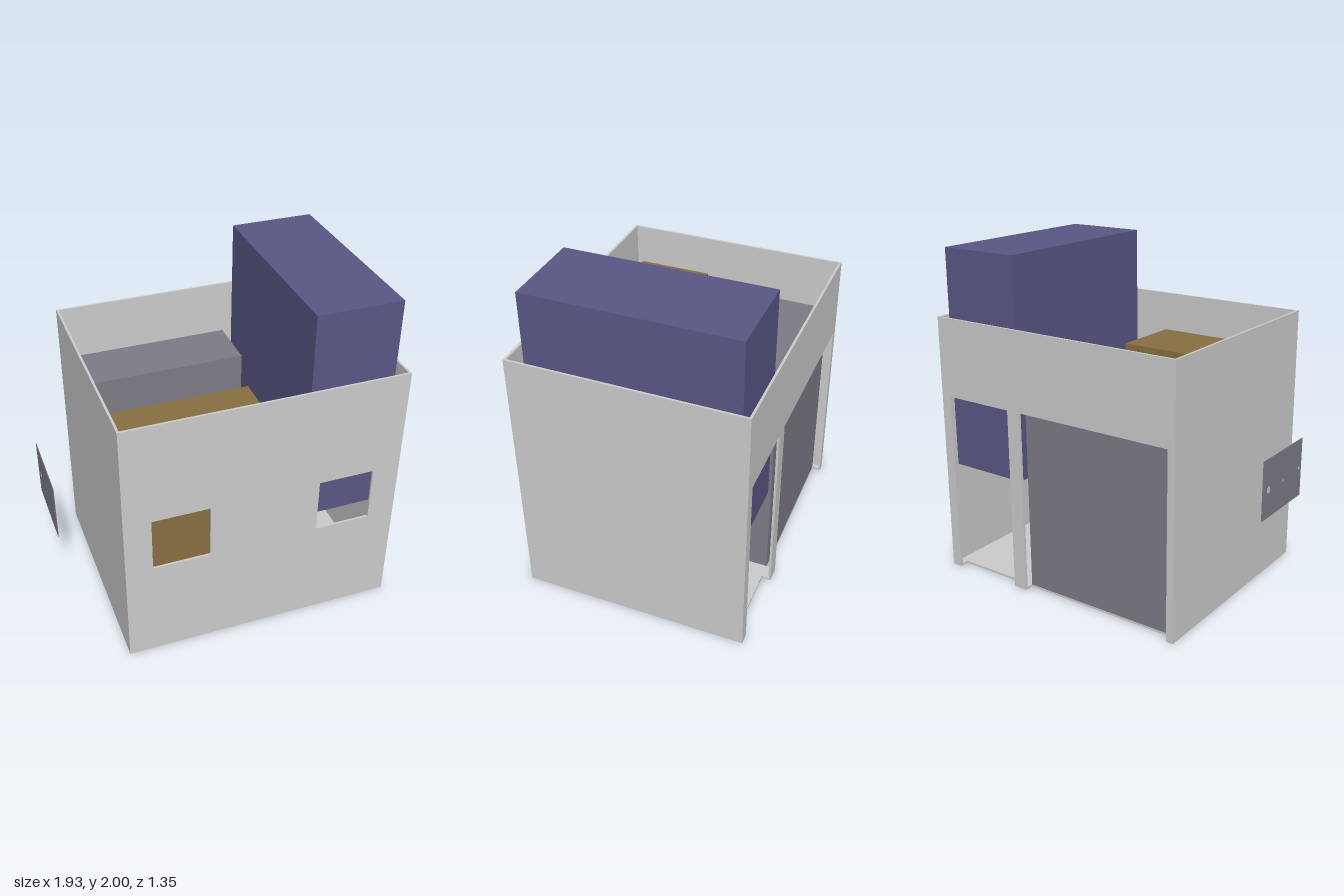
import * as THREE from 'three';

const X0 = -0.69, X1 = 0.965, Z0 = -0.675, Z1 = 0.675, H = 1.6, T = 0.014;
const DOORS = [[-0.645, 0.36], [0.45, 0.9]];

const material = (color) => new THREE.MeshStandardMaterial({ color });
const grey = material(0xcccccc);
const slate = material(0x7d7c87);
const blue = material(0x595785);
const brown = material(0x886f40);

// Box given by its limits on each axis
function block(name, mat, [x0, x1], [y0, y1], [z0, z1]) {
  const mesh = new THREE.Mesh(new THREE.BoxGeometry(x1 - x0, y1 - y0, z1 - z0), mat);
  mesh.position.set((x0 + x1) / 2, (y0 + y1) / 2, (z0 + z1) / 2);
  mesh.name = name;
  return mesh;
}

function polygon(points) {
  return new THREE.Shape(points.map(([x, y]) => new THREE.Vector2(x, y)));
}

function rectangle(x0, x1, y0, y1) {
  return polygon([[x0, y0], [x1, y0], [x1, y1], [x0, y1]]);
}

function plate(name, mat, shape, depth) {
  const geometry = new THREE.ExtrudeGeometry(shape, { depth, bevelEnabled: false, curveSegments: 10 });
  const mesh = new THREE.Mesh(geometry, mat);
  mesh.name = name;
  return mesh;
}

// Outline whose lower edge is cut by the two doorways up to the given height
function notched(x0, x1, low, cut, high) {
  const points = [[x0, low]];
  for (const [a, b] of DOORS) points.push([a, low], [a, cut], [b, cut], [b, low]);
  points.push([x1, low], [x1, high], [x0, high]);
  return polygon(points);
}

function createShell() {
  const shell = new THREE.Group();
  shell.name = 'room';

  // Front wall with two square windows
  const frontShape = rectangle(X0, X1, 0, H);
  for (const [a, b] of [[-0.53, -0.19], [0.465, 0.8]]) frontShape.holes.push(rectangle(a, b, 0.635, 0.975));
  const front = plate('frontWall', grey, frontShape, T);
  front.position.z = Z1 - T;

  // Back wall with two doorways
  const back = plate('backWall', grey, notched(X0, X1, 0, 1.12, H), T);
  back.position.z = Z0;

  // Floor, cut back at the doorways
  const floor = plate('floor', grey, notched(X0 + T, X1 - T, Z0 + T, -0.62, Z1 - T), T);
  floor.rotation.x = Math.PI / 2;
  floor.position.y = T;

  shell.add(front, back, floor,
    block('rightWall', grey, [X0, X0 + T], [0, H], [Z0 + T, Z1 - T]),
    block('leftWall', grey, [X1 - T, X1], [0, H], [Z0 + T, Z1 - T]));
  return shell;
}

// Thin upright panel beside the room, pierced by small round holes
function createPanel() {
  const shape = rectangle(-0.23, 0.23, 0.63, 0.98);
  for (const [z, y, r] of [[-0.16, 0.795, 0.022], [0.01, 0.795, 0.01], [0.205, 0.805, 0.01]]) {
    const hole = new THREE.Path();
    hole.absarc(-z, y, r, 0, Math.PI * 2, true);
    shape.holes.push(hole);
  }
  const panel = plate('sidePanel', slate, shape, 0.004);
  panel.rotation.y = Math.PI / 2;
  panel.position.x = -0.967;
  return panel;
}

export function createModel() {
  const model = new THREE.Group();
  model.name = 'furnishedRoom';
  model.add(
    createShell(),
    // Blocks standing in the room, and the tall one raised above the floor
    block('backCabinet', slate, [-0.65, 0.36], [T, 1.29], [-0.62, -0.28]),
    block('frontCabinet', brown, [-0.65, 0.22], [T, 1.37], [0.165, 0.615]),
    block('smallCabinet', slate, [0.235, 0.405], [T, 0.45], [0.505, 0.615]),
    block('raisedBlock', blue, [0.42, 0.925], [0.67, 2], [-0.62, 0.575]),
    createPanel());
  return model;
}
